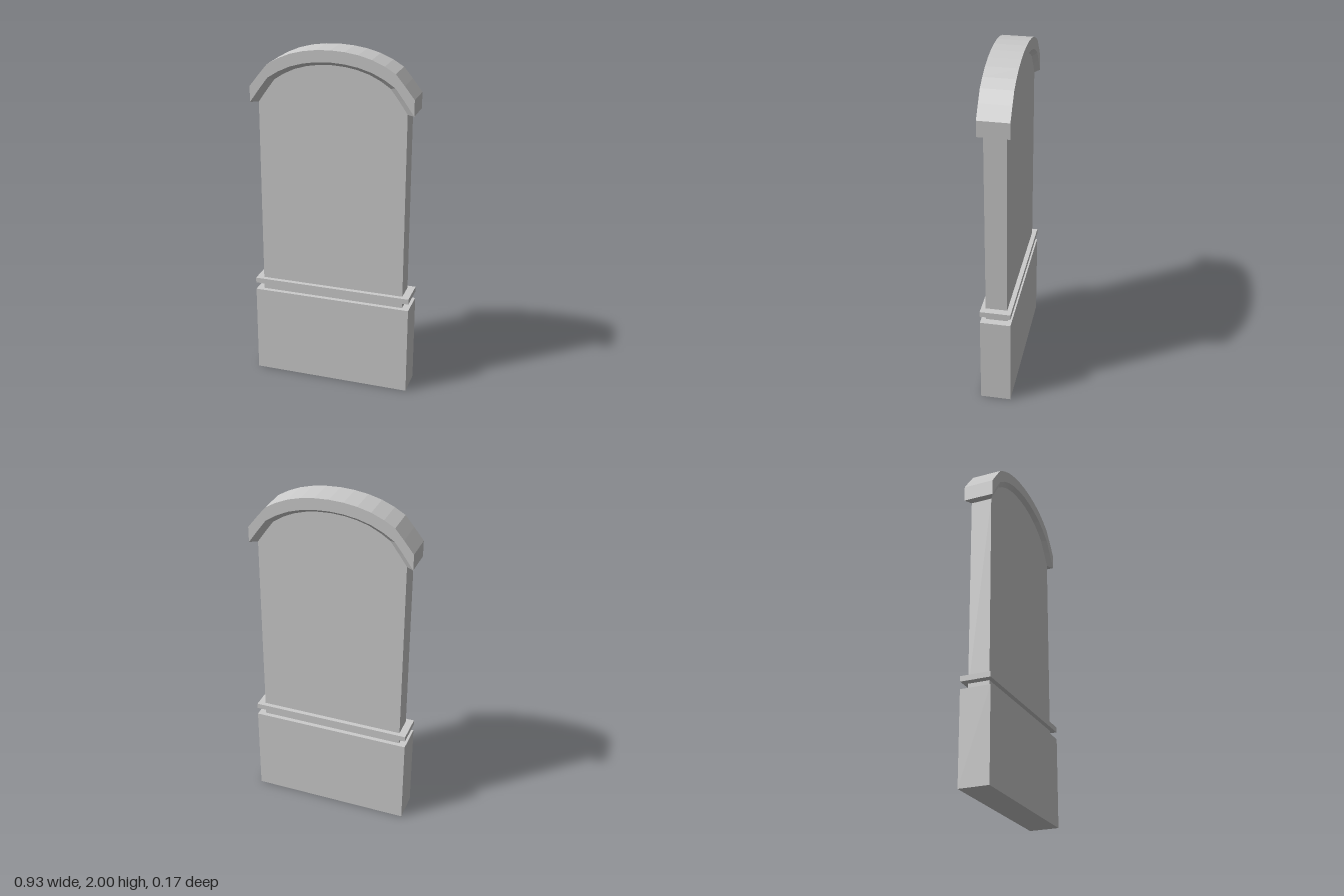
import * as THREE from 'three';

const material = new THREE.MeshStandardMaterial({ color: 0xcccccc, flatShading: true });
const HALF_DEPTH = 0.087, PANEL_HALF = 0.061;

// Right half of the arched top, from eave to crown, mirrored to the full arch
const half = [[0.465, 1.77], [0.41, 1.84], [0.36, 1.9], [0.3, 1.935],
  [0.23, 1.965], [0.155, 1.985], [0.08, 1.996], [0, 2]];
const arch = [...half, ...half.slice(0, -1).reverse().map(([x, y]) => [-x, y])];
const EAVE = 1.68;
const rise = (y, height) => EAVE + (y - 1.77) / 0.23 * height;
const lipArch = arch.map(([x, y]) => [x, rise(y, 0.255)]);
const panelArch = arch.map(([x, y]) => [x * 0.91, rise(y, 0.235)]);

function add(group, name, geometry) {
  const mesh = new THREE.Mesh(geometry, material);
  mesh.name = name;
  group.add(mesh);
}

function block(width, bottom, top, depth) {
  return new THREE.BoxGeometry(width, top - bottom, depth).translate(0, (bottom + top) / 2, 0);
}

// Arched slab standing on the base
function slab() {
  const shape = new THREE.Shape([[-0.423, 0.53], [0.423, 0.53], ...panelArch]
    .map(([x, y]) => new THREE.Vector2(x, y)));
  return new THREE.ExtrudeGeometry(shape, { depth: PANEL_HALF * 2, bevelEnabled: false })
    .translate(0, 0, -PANEL_HALF);
}

// Coping swept over the arch, with a soffit sloping in to the slab
function coping() {
  const rings = arch.map((outer, i) => [
    [...outer, HALF_DEPTH], [...lipArch[i], HALF_DEPTH], [...panelArch[i], PANEL_HALF],
    [...panelArch[i], -PANEL_HALF], [...lipArch[i], -HALF_DEPTH], [...outer, -HALF_DEPTH],
  ]);
  const positions = [];
  const quad = (a, b, c, d) => positions.push(...a, ...b, ...c, ...a, ...c, ...d);
  for (let i = 0; i < rings.length - 1; i++) {
    const p = rings[i], q = rings[i + 1];
    for (let k = 0; k < 6; k++) {
      const n = (k + 1) % 6;
      if (k !== 2) quad(p[n], p[k], q[k], q[n]);
    }
  }
  // Upright ends and flat undersides of the eaves
  const [a, b, c, d, e, f] = rings[0];
  quad(a, b, e, f);
  quad(b, c, d, e);
  const [g, h, j, k, l, m] = rings[rings.length - 1];
  quad(m, l, h, g);
  quad(l, k, j, h);
  const geometry = new THREE.BufferGeometry();
  geometry.setAttribute('position', new THREE.Float32BufferAttribute(positions, 3));
  geometry.computeVertexNormals();
  return geometry;
}

export function createModel() {
  const group = new THREE.Group();
  group.name = 'archedStone';
  add(group, 'base', block(0.93, 0, 0.53, HALF_DEPTH * 2));
  add(group, 'moulding', block(0.93, 0.572, 0.603, HALF_DEPTH * 2));
  add(group, 'slab', slab());
  add(group, 'coping', coping());
  return group;
}
